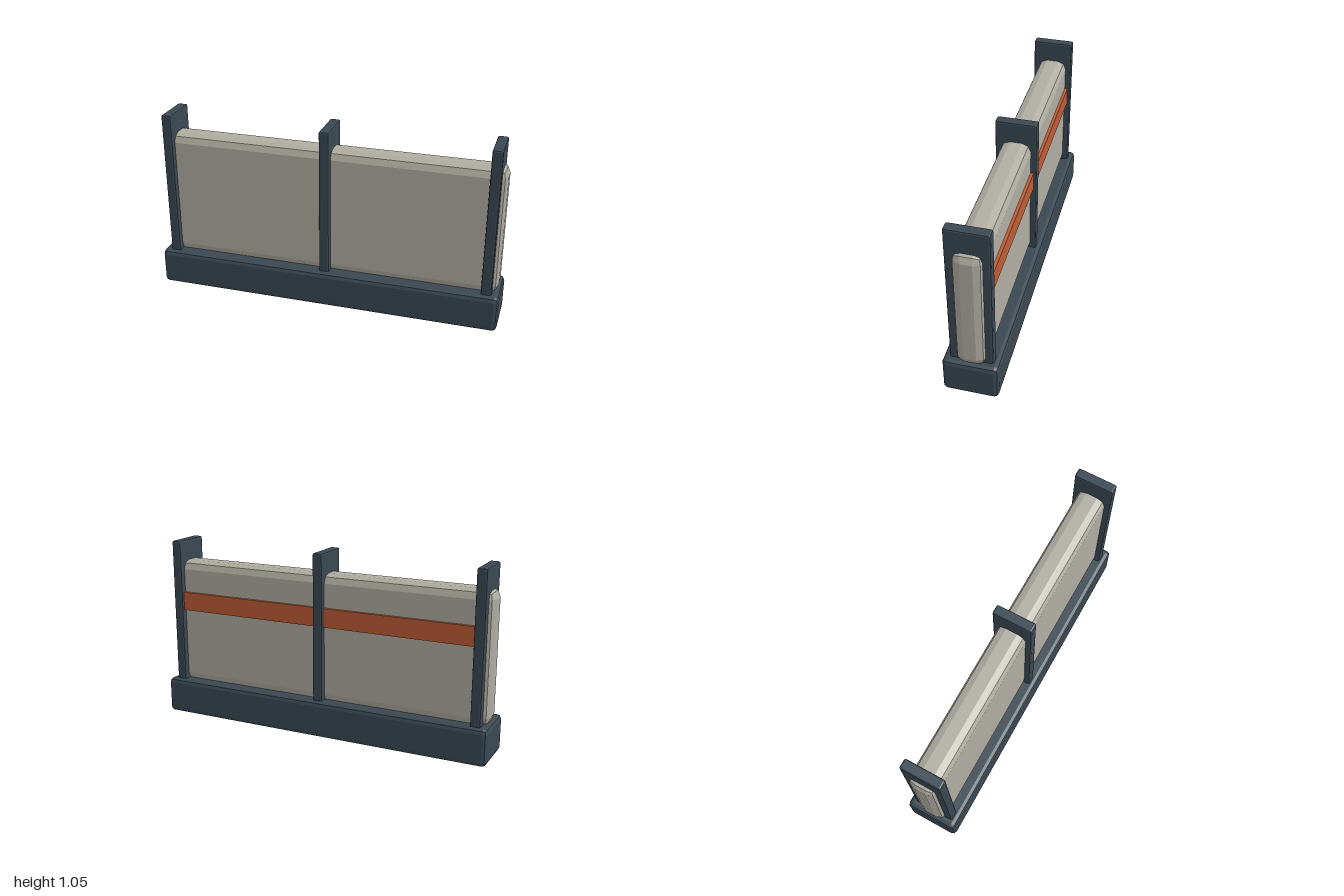
import * as THREE from 'three';
import { RoundedBoxGeometry } from 'three/addons/geometries/RoundedBoxGeometry.js';

export function createModel() {
  const model = new THREE.Group();
  model.name = 'barrier';

  const material = (name, color) => {
    const m = new THREE.MeshStandardMaterial({ color, flatShading: true });
    m.name = name;
    return m;
  };
  const slate = material('dark slate', 0x3a4852);
  const stone = material('warm grey', 0xb0ada2);
  const rust = material('rust orange', 0xbd5d36);

  // Box with two-facet bevels, placed by its bottom and top heights
  const block = (name, mat, width, bottom, top, depth, bevel, x = 0, z = 0) => {
    const geometry = bevel
      ? new RoundedBoxGeometry(width, top - bottom, depth, 1, bevel)
      : new THREE.BoxGeometry(width, top - bottom, depth);
    const mesh = new THREE.Mesh(geometry, mat);
    mesh.name = name;
    mesh.position.set(x, (bottom + top) / 2, z);
    model.add(mesh);
  };

  // Plinth and wall panel
  block('base', slate, 2, 0, 0.21, 0.3, 0.025);
  block('panel', stone, 1.97, 0.195, 0.935, 0.166, 0.05);

  // Upright ribs wrapping the panel
  for (const [name, x] of [['rightPost', -0.926], ['middlePost', 0], ['leftPost', 0.926]]) {
    block(name, slate, 0.058, 0.17, 1.055, 0.232, 0.01, x);
  }

  // Painted band along the back
  block('backStripe', rust, 1.86, 0.64, 0.748, 0.02, 0, 0, -0.09);

  return model;
}
